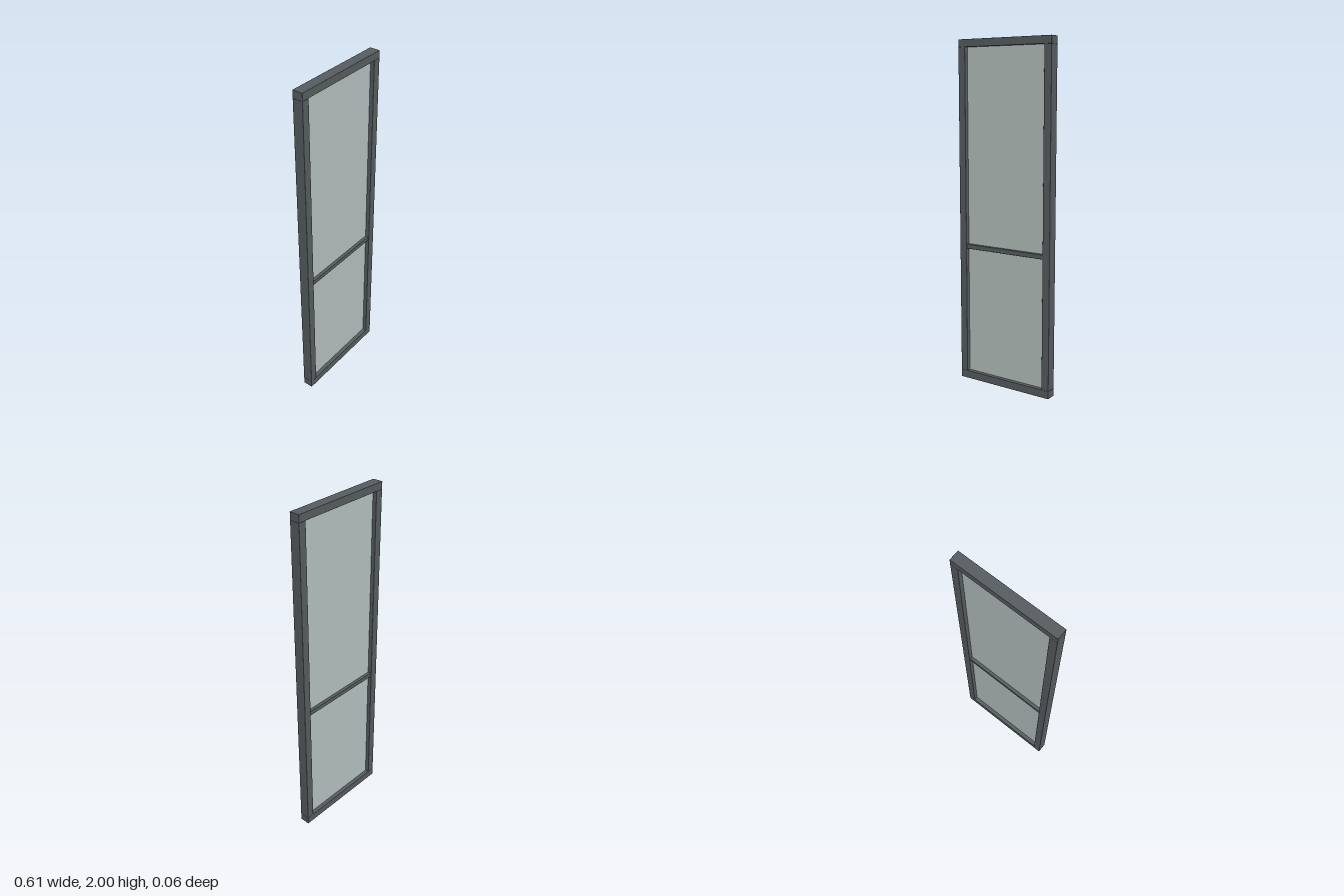
import * as THREE from 'three';
import { RoundedBoxGeometry } from 'three/addons/geometries/RoundedBoxGeometry.js';

export function createModel() {
  const model = new THREE.Group();
  model.name = 'windowPanel';

  const frameMaterial = new THREE.MeshStandardMaterial({ color: 0x565c5f });
  frameMaterial.name = 'dark grey frame';
  const glassMaterial = new THREE.MeshStandardMaterial({ color: 0xb4bfbd });
  glassMaterial.name = 'pale grey glass';

  const halfWidth = 0.307, innerX = 0.262;
  const height = 2, bottomEdge = 0.046, topEdge = 1.957;
  const barLow = 0.8, barHigh = 0.826, depth = 0.06;

  // Bar between two corners, centred in depth, with finely eased edges
  function addBar(name, x0, x1, y0, y1, d) {
    const bar = new THREE.Mesh(new RoundedBoxGeometry(x1 - x0, y1 - y0, d, 1, 0.0015), frameMaterial);
    bar.name = name;
    bar.position.set((x0 + x1) / 2, (y0 + y1) / 2, 0);
    model.add(bar);
  }

  // Outer frame: full-width rails with stiles between them
  addBar('bottomRail', -halfWidth, halfWidth, 0, bottomEdge, depth);
  addBar('topRail', -halfWidth, halfWidth, topEdge, height, depth);
  addBar('leftStile', innerX, halfWidth, bottomEdge, topEdge, depth);
  addBar('rightStile', -halfWidth, -innerX, bottomEdge, topEdge, depth);

  // Crossbar dividing the two panes
  addBar('crossbar', -innerX, innerX, barLow, barHigh, 0.05);

  // Recessed glass panes
  for (const [name, y0, y1] of [['lowerPane', bottomEdge, barLow], ['upperPane', barHigh, topEdge]]) {
    const pane = new THREE.Mesh(new THREE.BoxGeometry(innerX * 2, y1 - y0, 0.012), glassMaterial);
    pane.name = name;
    pane.position.y = (y0 + y1) / 2;
    model.add(pane);
  }

  return model;
}
